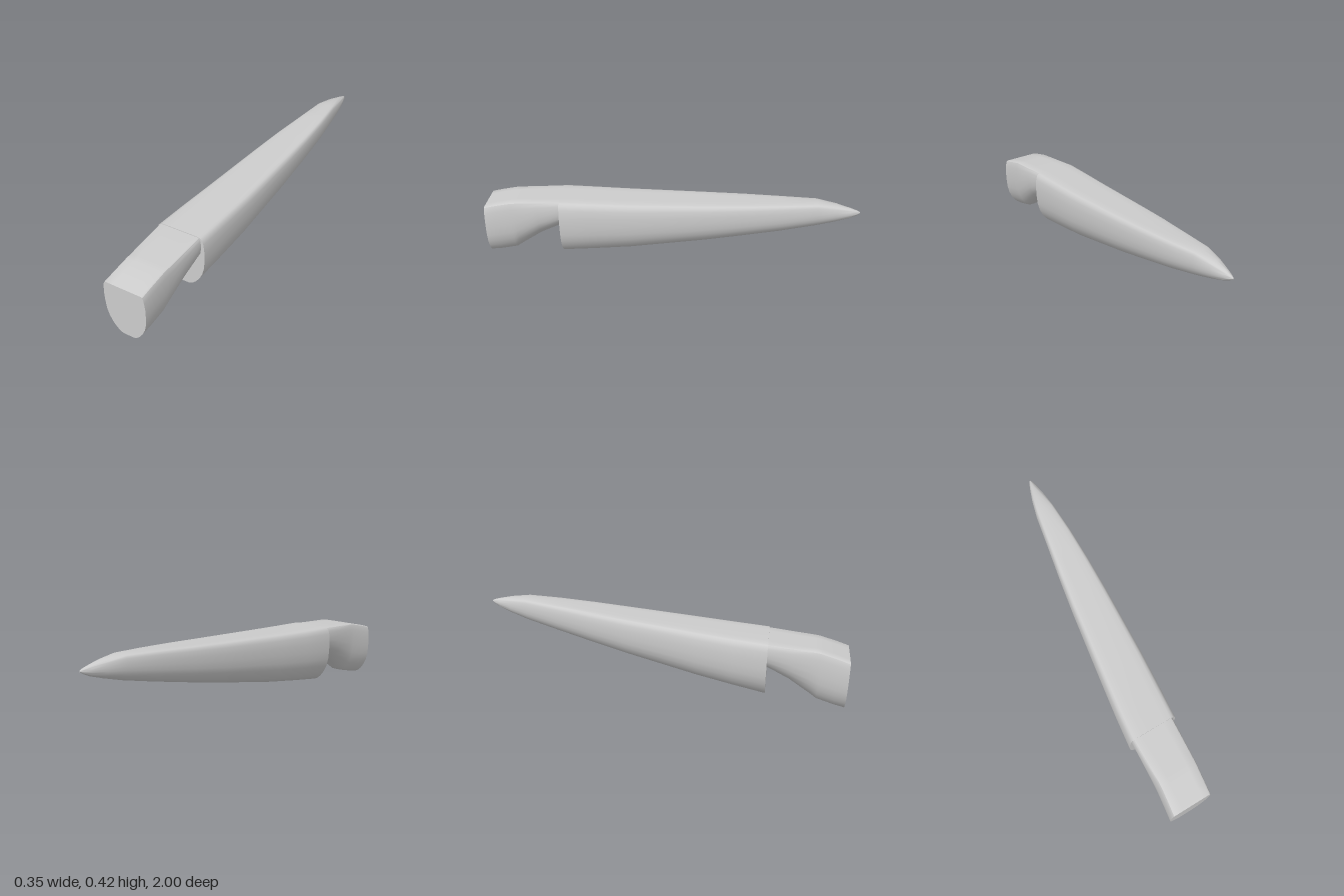
import * as THREE from 'three';
import { toCreasedNormals } from 'three/addons/utils/BufferGeometryUtils.js';

// Right half of a cross-section, top to bottom: u across (0..1), v up (0..1)
const LOWER = [[1, 0.74], [0.99, 0.58], [0.955, 0.42], [0.87, 0.29], [0.74, 0.18],
  [0.58, 0.09], [0.42, 0.03], [0.28, 0.003], [0, 0]];
const BODY_HALF = [[0, 1], [0.45, 1], [0.74, 0.997], [0.84, 0.985], [0.92, 0.95], [0.97, 0.88], ...LOWER];
const STUB_HALF = [[0, 1], [0.5, 1], [0.85, 1], [0.91, 0.985], [0.945, 0.95], [0.975, 0.87], ...LOWER];

// Lofts a mirrored profile through sections [z, xMin, xMax, yBottom, yTop, roundness], front to back
function loft(half, sections) {
  const profile = [...half, ...half.slice(1, -1).reverse().map(([u, v]) => [-u, v])];
  const n = profile.length, pos = [], index = [];
  for (const [z, x0, x1, y0, y1, round = 0] of sections) {
    for (const [u, v] of profile) {
      const a = Math.atan2(2 * v - 1, u);
      const uu = THREE.MathUtils.lerp(u, Math.cos(a), round);
      const vv = THREE.MathUtils.lerp(v, 0.5 + 0.5 * Math.sin(a), round);
      pos.push((x0 + x1) / 2 + uu * (x1 - x0) / 2, y0 + vv * (y1 - y0), z);
    }
  }
  const last = sections.length - 1;
  for (let s = 0; s < last; s++) {
    for (let i = 0; i < n; i++) {
      const a = s * n + i, b = s * n + (i + 1) % n;
      index.push(a, b, a + n, b, b + n, a + n);
    }
  }
  // End caps
  for (let i = 1; i < n - 1; i++) {
    index.push(0, i + 1, i);
    index.push(last * n, last * n + i, last * n + i + 1);
  }
  const g = new THREE.BufferGeometry();
  g.setAttribute('position', new THREE.Float32BufferAttribute(pos, 3));
  g.setIndex(index);
  return toCreasedNormals(g, 0.6);
}

export function createModel() {
  const group = new THREE.Group();
  const grey = new THREE.MeshStandardMaterial({ color: 0xcccccc });
  grey.name = 'plain grey';

  const add = (name, half, sections) => {
    const mesh = new THREE.Mesh(loft(half, sections), grey);
    mesh.name = name;
    group.add(mesh);
  };

  // Long tapering body, bending gently to a point at the back
  add('taperedBody', BODY_HALF, [
    [0.58, -0.165, 0.11, 0.035, 0.365],
    [0.4, -0.142, 0.128, 0.06, 0.37],
    [0.2, -0.112, 0.145, 0.09, 0.377],
    [-0.2, -0.05, 0.167, 0.165, 0.395],
    [-0.4, -0.015, 0.174, 0.207, 0.405],
    [-0.6, 0.024, 0.177, 0.25, 0.416, 0.1],
    [-0.78, 0.058, 0.172, 0.292, 0.425, 0.3],
    [-0.88, 0.086, 0.165, 0.32, 0.414, 0.6],
    [-0.95, 0.112, 0.156, 0.343, 0.398, 0.9],
    [-0.985, 0.127, 0.149, 0.361, 0.387, 1],
    [-1, 0.136, 0.142, 0.372, 0.379, 1],
  ]);

  // Stepped front stub, cut away underneath where it meets the body
  add('frontStub', STUB_HALF, [
    [1, -0.178, 0.057, 0.003, 0.305],
    [0.94, -0.17, 0.063, 0.013, 0.322],
    [0.85, -0.16, 0.072, 0.036, 0.343],
    [0.82, -0.158, 0.075, 0.058, 0.346],
    [0.7, -0.156, 0.084, 0.14, 0.353],
    [0.58, -0.153, 0.092, 0.2, 0.361],
    [0.5, -0.143, 0.096, 0.23, 0.362],
  ]);

  return group;
}
